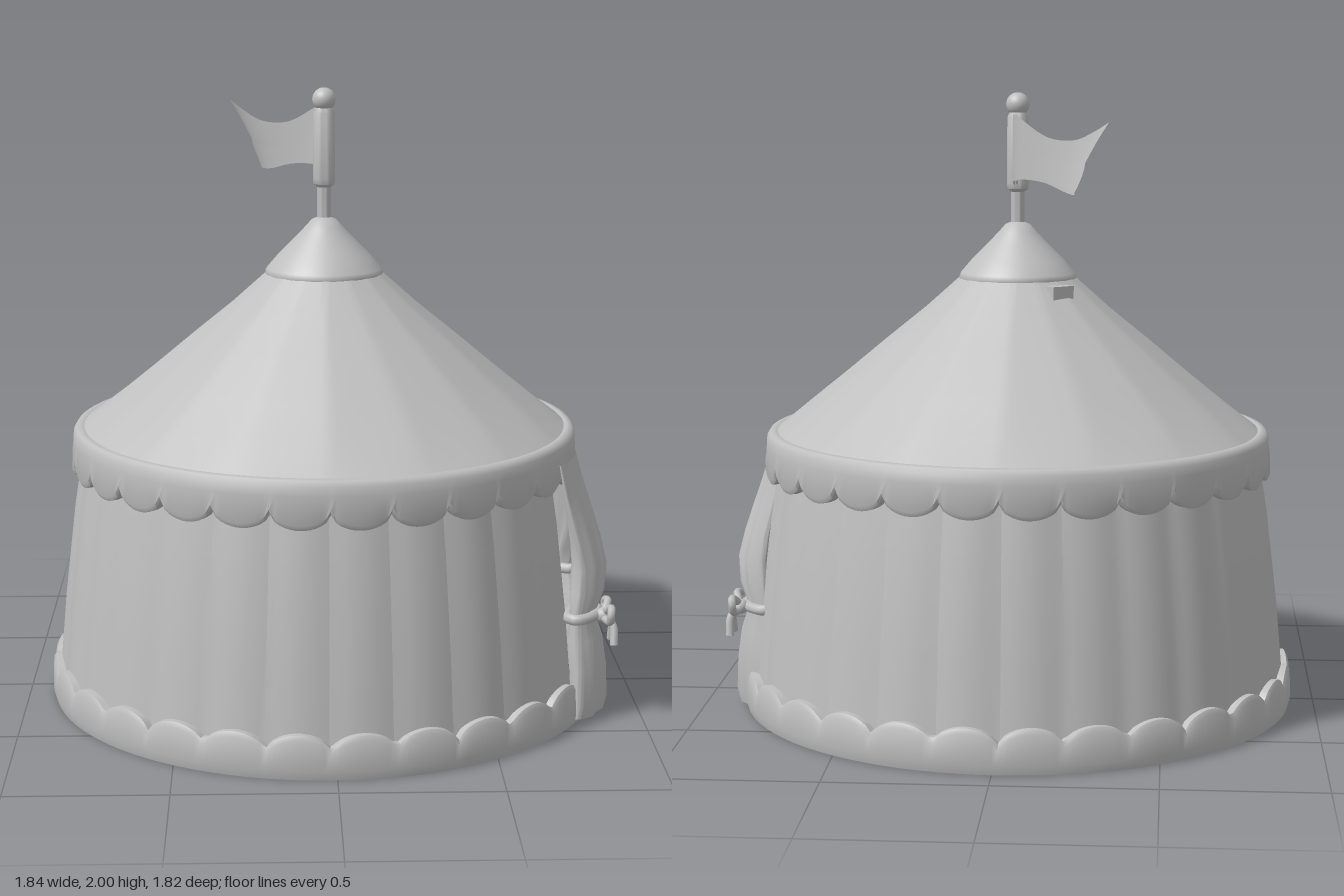
import * as THREE from 'three';
import { toCreasedNormals } from 'three/addons/utils/BufferGeometryUtils.js';

const TAU = Math.PI * 2;
const PANELS = 28;
const DOOR = 0.07;       // angle of the doorway centre
const DOOR_HALF = 0.38;  // half angle of the doorway

const canvas = new THREE.MeshStandardMaterial({ color: 0xbfbfbf, side: THREE.DoubleSide });
canvas.name = 'grey canvas';

function add(parent, geometry, name) {
  const mesh = new THREE.Mesh(geometry, canvas);
  mesh.name = name;
  parent.add(mesh);
  return mesh;
}

// Surface from a rule point(u, v) => [x, y, z], u and v in 0..1
function grid(nu, nv, point, crease = 0.8) {
  const pos = [], idx = [];
  for (let i = 0; i <= nu; i++)
    for (let j = 0; j <= nv; j++) pos.push(...point(i / nu, j / nv));
  for (let i = 0; i < nu; i++)
    for (let j = 0; j < nv; j++) {
      const a = i * (nv + 1) + j, b = a + nv + 1;
      idx.push(a, a + 1, b, b, a + 1, b + 1);
    }
  const g = new THREE.BufferGeometry();
  g.setAttribute('position', new THREE.Float32BufferAttribute(pos, 3));
  g.setIndex(idx);
  return toCreasedNormals(g, crease);
}

// Sweep a [radius, y] profile around the axis between two angles
function ring(a0, a1, steps, count, profile, crease) {
  return grid(steps, count - 1, (u, v) => {
    const t = a0 + (a1 - a0) * u;
    const [r, y] = profile(t)[Math.round(v * (count - 1))];
    return [r * Math.cos(t), y, r * Math.sin(t)];
  }, crease);
}

const scallop = t => Math.sqrt(Math.abs(Math.sin(t * PANELS / 2)));

function tube(points, radius, closed = false) {
  const curve = new THREE.CatmullRomCurve3(points.map(p => new THREE.Vector3(...p)), closed);
  return new THREE.TubeGeometry(curve, 20, radius, 8, closed);
}

// One gathered curtain; z runs away from the middle of the doorway
function curtain(side) {
  const g = new THREE.Group();
  g.name = side + 'Curtain';
  // y, inner edge, outer edge, distance from tent axis, half depth
  const rows = [
    [0.015, 0.25, 0.26, 0.855, 0.004], [0.015, 0.15, 0.375, 0.86, 0.045],
    [0.06, 0.145, 0.38, 0.865, 0.05], [0.17, 0.17, 0.375, 0.86, 0.052],
    [0.27, 0.2, 0.365, 0.85, 0.05], [0.33, 0.22, 0.355, 0.845, 0.038],
    [0.36, 0.22, 0.355, 0.845, 0.038], [0.42, 0.185, 0.35, 0.85, 0.05],
    [0.5, 0.13, 0.34, 0.85, 0.05], [0.58, 0.08, 0.335, 0.835, 0.042],
    [0.66, 0.045, 0.33, 0.815, 0.034], [0.74, 0.012, 0.325, 0.795, 0.025],
    [0.84, 0, 0.32, 0.775, 0.015]
  ];
  add(g, grid(64, rows.length - 1, (u, v) => {
    const [y, zi, zo, r, d] = rows[Math.round(v * (rows.length - 1))];
    const a = u * TAU, fold = 1 + 0.13 * Math.cos(a * 8);
    const z = (zi + zo) / 2 + Math.sin(a) * (zo - zi) / 2;
    return [Math.sqrt(r * r - z * z) + 0.03 + Math.cos(a) * d * fold, y, z];
  }, 1.2), 'curtainCloth');

  // Tie band, knot, bow loops and tails
  const band = [];
  for (let i = 0; i < 12; i++) {
    const a = i / 12 * TAU;
    const z = 0.288 + 0.078 * Math.sin(a);
    band.push([Math.sqrt(0.845 ** 2 - z * z) + 0.03 + Math.cos(a) * 0.045, 0.345, z]);
  }
  add(g, tube(band, 0.018, true), 'tieBand');
  const bow = new THREE.Group();
  bow.name = 'bow';
  bow.position.set(0.885, 0.345, 0.31);
  g.add(bow);
  add(bow, new THREE.SphereGeometry(0.024, 14, 10), 'knot');
  for (const s of [-1, 1]) {
    add(bow, tube([[0, 0, 0], [0.02, 0.035, s * 0.04], [0.015, 0.025, s * 0.075],
      [0.015, -0.005, s * 0.06]], 0.013, true), 'bowLoop');
    add(bow, tube([[0, 0, 0], [0.03, -0.03, s * 0.02], [0.032, -0.09, s * 0.037]], 0.013), 'bowTail');
  }
  return g;
}

export function createModel() {
  const model = new THREE.Group();
  model.name = 'roundTent';
  const tent = new THREE.Group();
  tent.name = 'tent';
  tent.position.x = -0.018;
  model.add(tent);
  const start = DOOR + DOOR_HALF, end = DOOR + TAU - DOOR_HALF;

  // Side wall of slightly bulging panels
  add(tent, ring(start, end, 196, 4, t => {
    const b = 0.01 * Math.abs(Math.sin(t * PANELS / 2));
    return [[0.878 + b, 0.02], [0.848 + b, 0.35], [0.812 + b, 0.65], [0.772 + b, 0.9]];
  }, 0.2), 'wall');

  // Scalloped skirt around the foot
  add(tent, ring(start, end, 280, 7, t => {
    const y = 0.085 + 0.055 * scallop(t);
    return [[0.84, 0], [0.9, 0], [0.908, 0.03], [0.904, y - 0.015], [0.896, y], [0.865, y], [0.84, 0]];
  }), 'skirt');

  // Floor, open at the doorway
  const floor = new THREE.CircleGeometry(0.86, 72, start, end - start);
  floor.rotateX(Math.PI / 2);
  add(tent, floor, 'floor').position.y = 0.02;

  // Scalloped valance under the eaves
  add(tent, ring(0, TAU, 336, 9, t => {
    const y = 0.805 - 0.05 * scallop(t);
    return [[0.79, y], [0.822, y], [0.83, y + 0.015], [0.824, 0.86], [0.822, 0.89],
      [0.812, 0.906], [0.795, 0.91], [0.775, 0.9], [0.79, y]];
  }), 'valance');

  // Roof of gently sagging panels
  const roof = [[0.795, 0.9], [0.68, 0.995], [0.56, 1.092], [0.43, 1.2], [0.3, 1.305], [0.165, 1.425]];
  add(tent, ring(0, TAU, 168, roof.length, t => roof.map(([r, y], i) =>
    [r, y - (i ? 0.012 * r * Math.abs(Math.sin(t * 8)) : 0)]), 0.3), 'roof');

  // Cap on the peak
  const cap = [[0.15, 1.405], [0.185, 1.392], [0.192, 1.402], [0.186, 1.418], [0.15, 1.46],
    [0.1, 1.51], [0.062, 1.55], [0.04, 1.575], [0.015, 1.585]];
  add(tent, new THREE.LatheGeometry(cap.map(p => new THREE.Vector2(...p)), 48), 'cap');

  // Small vent on the roof beside the cap
  const vent = add(tent, new THREE.BoxGeometry(0.045, 0.06, 0.08), 'vent');
  vent.position.set(-0.145, 1.36, -0.17);
  vent.rotation.y = -Math.PI * 0.28;

  // Pole, flag sleeve and ball
  const pole = [[0, 1.56], [0.022, 1.56], [0.022, 1.68], [0.034, 1.69], [0.036, 1.71],
    [0.034, 1.92], [0.026, 1.937], [0, 1.94]];
  add(tent, toCreasedNormals(new THREE.LatheGeometry(pole.map(p => new THREE.Vector2(...p)), 24), 0.8), 'pole');
  add(tent, new THREE.SphereGeometry(0.038, 24, 16), 'poleBall').position.y = 1.962;

  // Waving swallow-tailed flag between an upper and a lower edge
  const edge = pts => new THREE.CatmullRomCurve3(pts.map(p => new THREE.Vector3(...p)));
  const upper = edge([[0, 1.915, -0.02], [0.005, 1.935, -0.1], [-0.02, 1.92, -0.19],
    [-0.11, 1.865, -0.27], [-0.2, 1.86, -0.35], [-0.265, 1.89, -0.43], [-0.31, 1.92, -0.5]]);
  const lower = edge([[0, 1.7, -0.02], [0.005, 1.715, -0.1], [-0.02, 1.73, -0.19],
    [-0.1, 1.725, -0.27], [-0.17, 1.7, -0.35], [-0.2, 1.695, -0.42], [-0.205, 1.705, -0.475]]);
  const cloth = (u, v) => {
    const s = u * (1 - 0.15 * (1 - Math.abs(2 * v - 1)));
    return lower.getPoint(s).lerp(upper.getPoint(s), v);
  };
  for (const s of [-1, 1])
    add(tent, grid(32, 8, (u, v) => {
      const p = cloth(u, v);
      return [p.x + s * 0.005 * (1 - u), p.y, p.z];
    }, 1.2), s < 0 ? 'flagInner' : 'flagOuter');

  // Pair of tied curtains at the doorway
  for (const [side, s] of [['left', 1], ['right', -1]]) {
    const c = curtain(side);
    c.position.z = 0.06;
    c.scale.z = s;
    tent.add(c);
  }
  return model;
}
